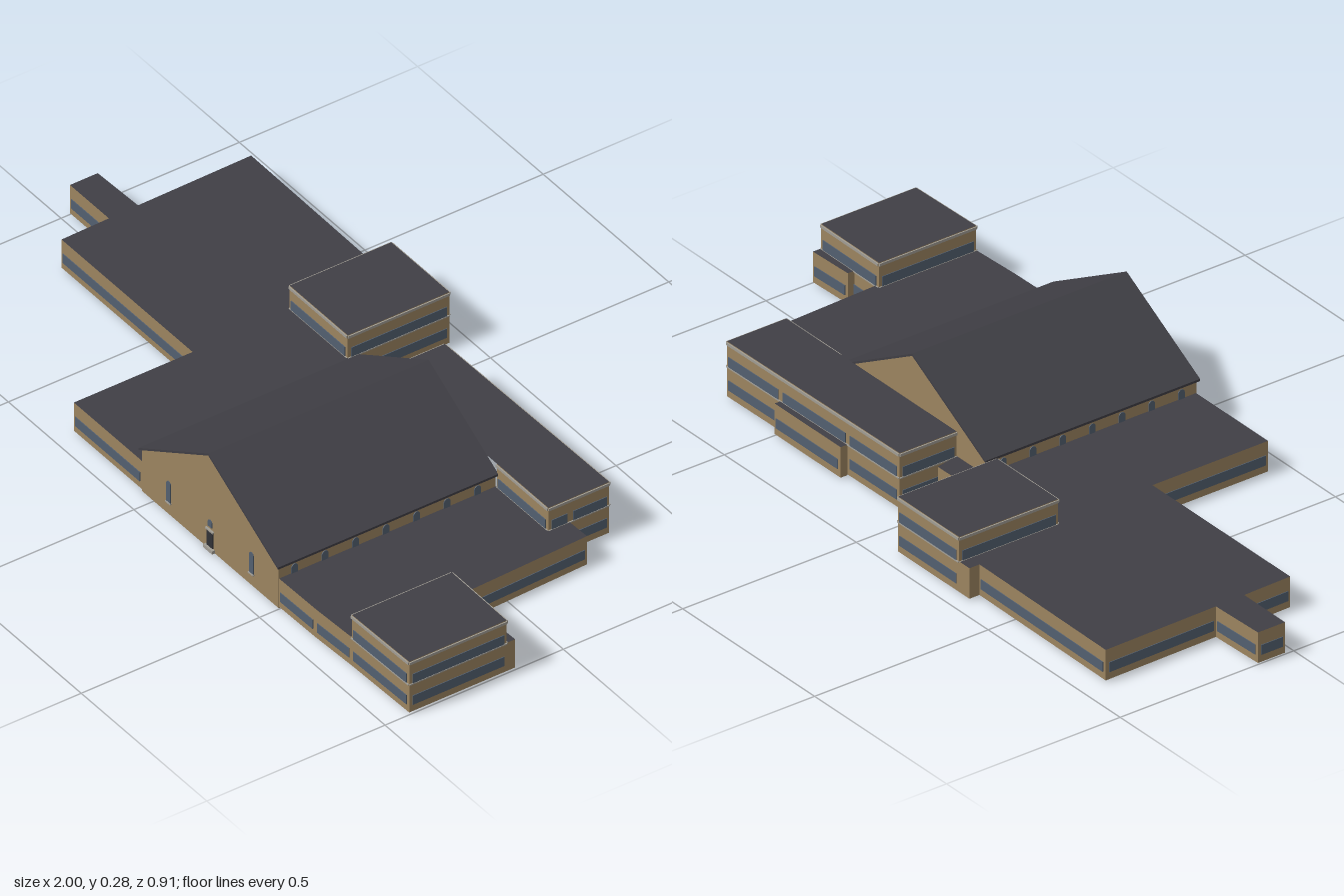
import * as THREE from 'three';

const mat = (name, color, double) => {
  const m = new THREE.MeshStandardMaterial({ color });
  m.name = name;
  if (double) m.side = THREE.DoubleSide;
  return m;
};

export function createModel() {
  const wall = mat('tan brick', 0x9c8460, true);
  const roof = mat('dark roof', 0x403f45, true);
  const glass = mat('blue grey glass', 0x536070, true);
  const trim = mat('light grey trim', 0xa19d94);
  const door = mat('dark door', 0x303136);

  const model = new THREE.Group();
  model.name = 'building';
  const LOW = 0.085, TALL = 0.15, BASE = 0.004;

  const add = (parent, name, geometry, material) => {
    const m = new THREE.Mesh(geometry, material);
    m.name = name;
    parent.add(m);
    return m;
  };

  // Flat roofed block. Each corner is [x, z, edge to the next corner]:
  // b = two window rows, u = upper row, l = lower row, p = plain, - = no wall
  function block(name, height, corners) {
    const g = new THREE.Group();
    g.name = name;
    model.add(g);
    corners.forEach(([x, z, kind], i) => {
      if (kind === '-') return;
      const [x2, z2] = corners[(i + 1) % corners.length];
      const len = Math.hypot(x2 - x, z2 - z);
      const side = new THREE.Group();
      side.name = 'side';
      side.position.set((x + x2) / 2, 0, (z + z2) / 2);
      side.rotation.y = Math.atan2(z - z2, x2 - x);
      g.add(side);
      add(side, 'wall', new THREE.PlaneGeometry(len, height - BASE), wall).position.y = (height + BASE) / 2;
      const rows = { b: [0.037, 0.099], u: [0.099], l: [0.037], p: [] }[kind];
      for (const y of rows) {
        add(side, 'windowBand', new THREE.BoxGeometry(len - 0.016, 0.026, 0.002), glass).position.set(0, y, 0.002);
      }
      if (height === TALL) {
        add(side, 'roofTrim', new THREE.BoxGeometry(len, 0.007, 0.003), trim).position.set(0, height - 0.005, 0.002);
        if (kind !== 'p') {
          add(side, 'storeyLedge', new THREE.BoxGeometry(len, 0.003, 0.003), trim).position.set(0, LOW - 0.001, 0.002);
        }
      }
    });
    const shape = new THREE.Shape(corners.map(([x, z]) => new THREE.Vector2(x, -z)));
    const top = add(g, 'flatRoof', new THREE.ShapeGeometry(shape), roof);
    top.rotation.x = -Math.PI / 2;
    top.position.y = height;
  }

  block('westWing', LOW, [
    [-0.32, 0.443, 'l'], [-0.046, 0.443, '-'], [-0.046, -0.166, 'p'], [-0.1, -0.168, '-'],
    [-0.328, -0.168, '-'], [-0.328, -0.453, 'p'], [-0.367, -0.453, 'p'], [-0.367, -0.424, 'l'],
    [-0.852, -0.429, 'l'], [-0.847, -0.108, '-'], [-0.845, -0.025, 'l'], [-0.842, 0.11, 'l'],
    [-0.32, 0.11, 'l'],
  ]);
  block('westAnnex', LOW, [
    [-1, -0.025, 'l'], [-0.845, -0.025, 'p'], [-0.847, -0.108, 'l'], [-1, -0.103, 'l'],
  ]);
  block('westTower', TALL, [
    [-0.328, -0.168, 'u'], [-0.097, -0.168, 'b'], [-0.097, -0.453, 'b'], [-0.328, -0.453, 'u'],
  ]);
  block('eastWing', LOW, [
    [0.496, 0.443, 'l'], [0.64, 0.441, 'l'], [0.776, 0.435, '-'], [0.776, 0.155, 'p'],
    [0.787, 0.155, 'l'], [0.772, -0.227, 'l'], [0.703, -0.225, '-'], [0.703, -0.168, '-'],
    [0.496, -0.166, '-'],
  ]);
  block('eastTower', TALL, [
    [0.776, 0.435, 'b'], [0.997, 0.43, 'b'], [0.997, 0.157, 'b'], [0.776, 0.155, 'u'],
  ]);
  block('eastPorch', LOW, [
    [0.87, 0.157, '-'], [0.997, 0.157, 'p'], [0.997, 0.133, 'l'], [0.87, 0.137, 'p'],
  ]);
  block('backBlock', TALL, [
    [0.058, -0.167, '-'], [0.498, -0.167, 'u'], [0.703, -0.167, 'u'], [0.703, -0.227, 'b'],
    [0.703, -0.338, 'b'], [0.5, -0.336, 'b'], [0.25, -0.333, 'b'], [0.058, -0.331, 'b'],
  ]);
  block('backPorch', LOW, [
    [0.25, -0.335, '-'], [0.5, -0.335, 'p'], [0.5, -0.355, 'l'], [0.25, -0.355, 'p'],
  ]);
  block('backCorner', LOW, [
    [-0.015, -0.167, '-'], [0.057, -0.167, '-'], [0.045, -0.231, 'l'], [-0.018, -0.231, 'l'],
  ]);

  // Hall with a steep gabled roof
  const hall = new THREE.Group();
  hall.name = 'hall';
  model.add(hall);
  const CX = 0.225, HALF = 0.272, EAVE = 0.12, RIDGE = 0.273, FRONT = 0.444, BACK = -0.164;
  const gable = new THREE.Shape([
    [CX - HALF, 0], [CX + HALF, 0], [CX + HALF, EAVE], [CX, RIDGE], [CX - HALF, EAVE],
  ].map(p => new THREE.Vector2(...p)));
  for (const z of [FRONT, BACK]) add(hall, 'gableWall', new THREE.ShapeGeometry(gable), wall).position.z = z;

  // Arched window plate, centred on x = 0 and standing on y = 0
  function archedWindow(width, height) {
    const r = width / 2, s = new THREE.Shape();
    s.moveTo(-r, 0);
    s.lineTo(r, 0);
    s.lineTo(r, height - r);
    s.absarc(0, height - r, r, 0, Math.PI, false);
    s.closePath();
    const geo = new THREE.ExtrudeGeometry(s, { depth: 0.004, bevelEnabled: false, curveSegments: 8 });
    return geo.translate(0, 0, -0.002);
  }

  for (const s of [-1, 1]) {
    const sideWall = add(hall, 'sideWall', new THREE.PlaneGeometry(FRONT - BACK, EAVE), wall);
    sideWall.rotation.y = s * Math.PI / 2;
    sideWall.position.set(CX + s * HALF, EAVE / 2, (FRONT + BACK) / 2);
    for (let i = 0; i < 7; i++) {
      const w = add(hall, 'sideWindow', archedWindow(0.018, 0.075), glass);
      w.rotation.y = s * Math.PI / 2;
      w.position.set(CX + s * HALF, 0.035, -0.113 + i * 0.0855);
    }
    add(hall, 'frontWindow', archedWindow(0.016, 0.06), glass).position.set(CX + s * 0.165, 0.035, FRONT);
    add(hall, 'frontSill', new THREE.BoxGeometry(0.02, 0.003, 0.005), trim)
      .position.set(CX + s * 0.165, 0.034, FRONT + 0.002);
  }

  // Entrance
  add(hall, 'doorWindow', archedWindow(0.016, 0.02), glass).position.set(CX, 0.066, FRONT);
  add(hall, 'doorLintel', new THREE.BoxGeometry(0.03, 0.004, 0.006), trim).position.set(CX, 0.057, FRONT + 0.002);
  add(hall, 'frontDoor', new THREE.BoxGeometry(0.024, 0.045, 0.005), door).position.set(CX, 0.032, FRONT);
  add(hall, 'doorStep', new THREE.BoxGeometry(0.036, 0.009, 0.008), trim).position.set(CX, 0.0045, FRONT + 0.004);

  // Roof: thin chevron slab
  const W = 0.278, T = 0.006;
  const chevron = new THREE.Shape([
    [CX - W, EAVE - 0.003], [CX, RIDGE], [CX + W, EAVE - 0.003],
    [CX + W, EAVE - 0.003 + T], [CX, RIDGE + T], [CX - W, EAVE - 0.003 + T],
  ].map(p => new THREE.Vector2(...p)));
  const slab = new THREE.ExtrudeGeometry(chevron, { depth: 0.618, bevelEnabled: false });
  add(hall, 'gabledRoof', slab, roof).position.z = -0.168;

  return model;
}
